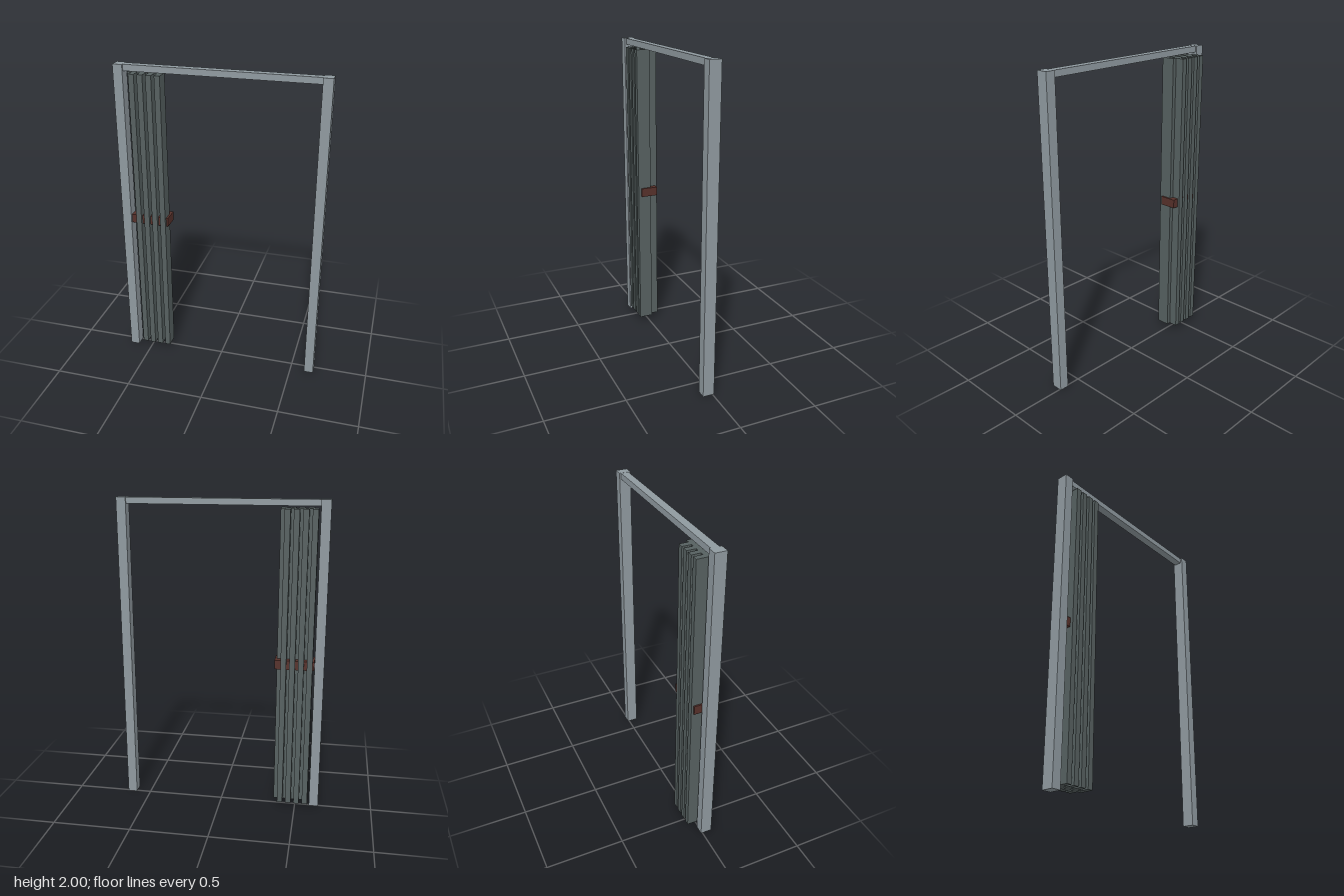
import * as THREE from 'three';

const frameGrey = new THREE.MeshStandardMaterial({ name: 'frame grey', color: 0x8f999f });
const slateGrey = new THREE.MeshStandardMaterial({ name: 'slate grey', color: 0x566060 });
const darkBrown = new THREE.MeshStandardMaterial({ name: 'dark brown', color: 0x56302a });

// Box given by its lower and upper limits on each axis
function box(name, material, [x0, x1], [y0, y1], [z0, z1]) {
  const mesh = new THREE.Mesh(new THREE.BoxGeometry(x1 - x0, y1 - y0, z1 - z0), material);
  mesh.position.set((x0 + x1) / 2, (y0 + y1) / 2, (z0 + z1) / 2);
  mesh.name = name;
  return mesh;
}

export function createModel() {
  const model = new THREE.Group();
  model.name = 'foldingDoor';

  // Door frame: two posts and a slimmer top rail
  const frame = new THREE.Group();
  frame.name = 'frame';
  frame.add(
    box('rightPost', frameGrey, [-0.654, -0.594], [0, 2], [-0.01, 0.063]),
    box('leftPost', frameGrey, [0.594, 0.654], [0, 2], [-0.01, 0.063]),
    box('topRail', frameGrey, [-0.594, 0.594], [1.96, 1.999], [0, 0.05])
  );
  model.add(frame);

  // Folded leaf: slats staggered alternately to the back and the front
  const leaf = new THREE.Group();
  leaf.name = 'foldedLeaf';
  const count = 8, pitch = 0.0272, width = 0.035;
  for (let i = 0; i < count; i++) {
    const x = -0.583 + i * pitch;
    const isFront = i % 2 === 1;
    leaf.add(box(isFront ? 'frontSlat' : 'backSlat', slateGrey,
      [x, x + width], [0.042, 1.948], isFront ? [-0.017, 0.07] : [-0.073, 0.012]));
  }
  model.add(leaf);

  // Handle bar running through the folded slats
  model.add(box('handleBar', darkBrown, [-0.593, -0.346], [0.962, 1.02], [-0.059, 0.05]));

  return model;
}
